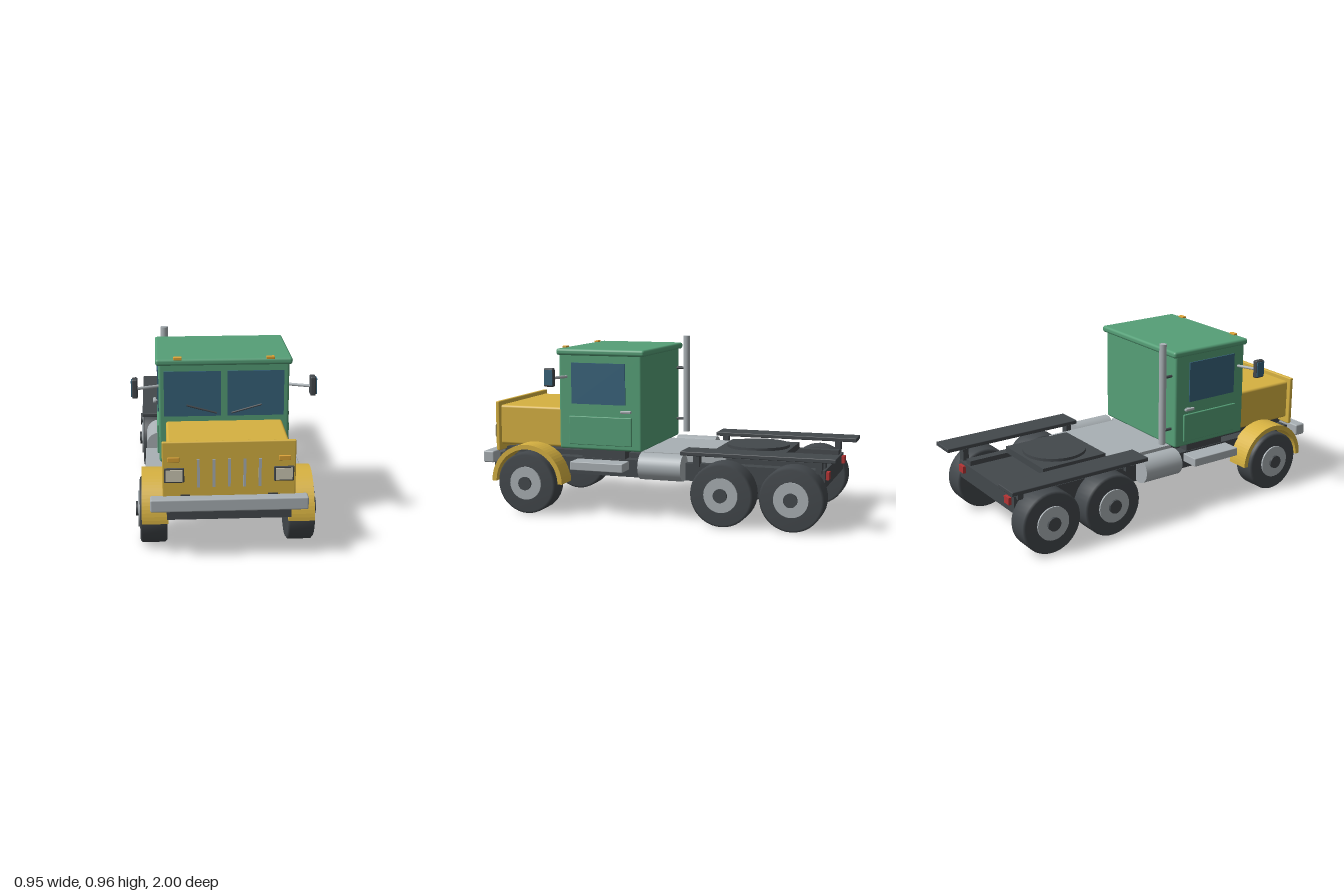
import * as THREE from 'three';
import { RoundedBoxGeometry } from 'three/addons/geometries/RoundedBoxGeometry.js';

const mat = (name, color) => {
  const m = new THREE.MeshStandardMaterial({ color });
  m.name = name;
  return m;
};

export function createModel() {
  const green = mat('cab green', 0x559f77);
  const yellow = mat('hood yellow', 0xd6b141);
  const dark = mat('dark rubber and steel', 0x43484c);
  const grey = mat('bare metal', 0xa9b0b4);
  const glass = mat('blue glass', 0x36627a);
  const cream = mat('lamp cream', 0xcfcab6);
  const orange = mat('signal orange', 0xdca234);
  const red = mat('tail red', 0xb43434);

  const truck = new THREE.Group();
  truck.name = 'truck';

  const add = (name, geo, material, x = 0, y = 0, z = 0) => {
    const mesh = new THREE.Mesh(geo, material);
    mesh.name = name;
    mesh.position.set(x, y, z);
    truck.add(mesh);
    return mesh;
  };
  // Box given by its limits on each axis, with optional rounded edges
  const box = (name, m, [x0, x1], [y0, y1], [z0, z1], r = 0) => {
    const s = [x1 - x0, y1 - y0, z1 - z0];
    const geo = r ? new RoundedBoxGeometry(...s, 2, r) : new THREE.BoxGeometry(...s);
    return add(name, geo, m, (x0 + x1) / 2, (y0 + y1) / 2, (z0 + z1) / 2);
  };
  // The same box on both sides of the truck
  const pair = (name, m, [x0, x1], y, z, r = 0) => {
    box(name + 'Left', m, [x0, x1], y, z, r);
    box(name + 'Right', m, [-x1, -x0], y, z, r);
  };
  // Round bar between two points
  const bar = (name, m, a, b, r, sides = 16) => {
    const p = new THREE.Vector3(...a), q = new THREE.Vector3(...b);
    const d = q.clone().sub(p);
    const mesh = add(name, new THREE.CylinderGeometry(r, r, d.length(), sides), m);
    mesh.position.copy(p).add(q).multiplyScalar(0.5);
    mesh.quaternion.setFromUnitVectors(new THREE.Vector3(0, 1, 0), d.normalize());
    return mesh;
  };

  // Chassis
  box('chassis', dark, [-0.305, 0.305], [0.215, 0.31], [-0.925, 0.97]);
  pair('frameRail', dark, [0.19, 0.238], [0.3, 0.337], [-0.915, 0.95]);
  box('cabMount', dark, [-0.3, 0.3], [0.3, 0.365], [0.18, 0.43]);
  box('deck', grey, [-0.26, 0.26], [0.31, 0.352], [-0.38, 0.1]);
  box('couplingPlate', dark, [-0.2, 0.2], [0.335, 0.372], [-0.69, -0.3]);
  add('couplingDisc', new THREE.CylinderGeometry(0.173, 0.173, 0.016, 40), dark, 0, 0.38, -0.5);
  pair('tailLight', red, [0.23, 0.28], [0.258, 0.298], [-0.942, -0.92]);

  // Cab
  box('cab', green, [-0.335, 0.335], [0.36, 0.89], [0.07, 0.55], 0.012);
  box('roof', green, [-0.35, 0.35], [0.878, 0.914], [0.05, 0.562], 0.014);
  pair('roofLight', orange, [0.215, 0.258], [0.908, 0.923], [0.538, 0.562], 0.003);
  pair('windshield', glass, [0.017, 0.308], [0.61, 0.848], [0.547, 0.555]);
  pair('sideWindow', glass, [0.334, 0.342], [0.613, 0.838], [0.162, 0.475]);
  pair('doorPanel', green, [0.33, 0.345], [0.388, 0.545], [0.125, 0.49], 0.004);
  pair('doorHandle', grey, [0.348, 0.365], [0.571, 0.586], [0.122, 0.182], 0.004);
  pair('handleStem', grey, [0.33, 0.352], [0.574, 0.583], [0.146, 0.158]);

  // Hood and grille
  box('hood', yellow, [-0.3, 0.3], [0.36, 0.583], [0.54, 0.935], 0.014);
  box('grillePanel', yellow, [-0.325, 0.325], [0.325, 0.606], [0.925, 0.948], 0.006);
  for (let i = -2; i <= 2; i++)
    box('grilleSlat', grey, [i * 0.075 - 0.007, i * 0.075 + 0.007], [0.375, 0.518], [0.944, 0.954]);
  pair('headlightFrame', dark, [0.218, 0.316], [0.4, 0.475], [0.94, 0.955], 0.004);
  pair('headlight', cream, [0.226, 0.308], [0.408, 0.467], [0.952, 0.96]);
  pair('turnSignal', orange, [0.241, 0.299], [0.506, 0.53], [0.944, 0.956], 0.003);
  box('bumper', grey, [-0.385, 0.385], [0.265, 0.33], [0.935, 1.0], 0.008);

  // Front fender arch: half ring extruded across the wheel
  const arch = new THREE.Shape();
  arch.absarc(0, 0, 0.211, 0, Math.PI, false);
  arch.absarc(0, 0, 0.185, Math.PI, 0, true);
  const archGeo = new THREE.ExtrudeGeometry(arch, { depth: 0.13, bevelEnabled: false, curveSegments: 18 });
  archGeo.rotateY(Math.PI / 2);

  // Tyre profile as radius and position along the axle, from inside to outside
  const tyreProfile = [[0, -0.5], [0.158, -0.5], [0.17, -0.42], [0.17, 0.42], [0.158, 0.5], [0, 0.5]];
  const tyreGeo = new THREE.LatheGeometry(
    tyreProfile.map(([r, t]) => new THREE.Vector2(r, t * 0.135)), 40).rotateZ(-Math.PI / 2);
  const disc = (r, w) => new THREE.CylinderGeometry(r, r, w, 28).rotateZ(Math.PI / 2);
  const rimGeo = disc(0.092, 0.03), capGeo = disc(0.037, 0.04);

  const axles = [['front', 0.713, 0.37], ['middle', -0.4, 0.36], ['rear', -0.773, 0.36]];
  for (const [name, z, x] of axles) {
    bar(name + 'Axle', dark, [-x, 0.173, z], [x, 0.173, z], 0.021);
    pair(name + 'AxleBracket', dark, [0.203, 0.255], [0.165, 0.22], [z - 0.03, z + 0.03]);
    for (const s of [-1, 1]) {
      add(name + 'Tyre', tyreGeo, dark, s * x, 0.17, z);
      add(name + 'Rim', rimGeo, grey, s * (x + 0.062), 0.172, z);
      add(name + 'HubCap', capGeo, dark, s * (x + 0.07), 0.172, z);
    }
  }

  for (const s of [-1, 1]) {
    add('frontFender', archGeo, yellow, s > 0 ? 0.298 : -0.428, 0.173, 0.713);
    // Fuel tank
    bar('fuelTank', grey, [s * 0.333, 0.288, -0.17], [s * 0.333, 0.288, 0.07], 0.073, 32);
    // Mirror and its arm
    bar('mirrorArm', grey, [s * 0.33, 0.76, 0.505], [s * 0.448, 0.76, 0.55], 0.008, 10);
    // Wiper
    bar('wiper', dark, [s * 0.038, 0.627, 0.56], [s * 0.193, 0.67, 0.56], 0.005, 8);
  }
  pair('mirror', dark, [0.44, 0.469], [0.715, 0.816], [0.525, 0.582], 0.008);
  pair('mirrorGlass', glass, [0.466, 0.474], [0.725, 0.806], [0.53, 0.577]);

  // Steps and rear fenders
  pair('sideStep', grey, [0.29, 0.41], [0.255, 0.302], [0.155, 0.46], 0.004);
  pair('rearFender', dark, [0.283, 0.43], [0.373, 0.395], [-1.0, -0.178], 0.004);
  for (const z of [-0.235, -0.895])
    pair('fenderBracket', dark, [0.28, 0.325], [0.295, 0.376], [z - 0.016, z + 0.016]);

  // Exhaust stack behind the cab
  bar('exhaust', grey, [-0.297, 0.39, 0.01], [-0.297, 0.957, 0.01], 0.02, 24);
  for (const y of [0.465, 0.768])
    bar('exhaustBracket', dark, [-0.297, y, 0.015], [-0.297, y, 0.08], 0.008, 10);

  return truck;
}
